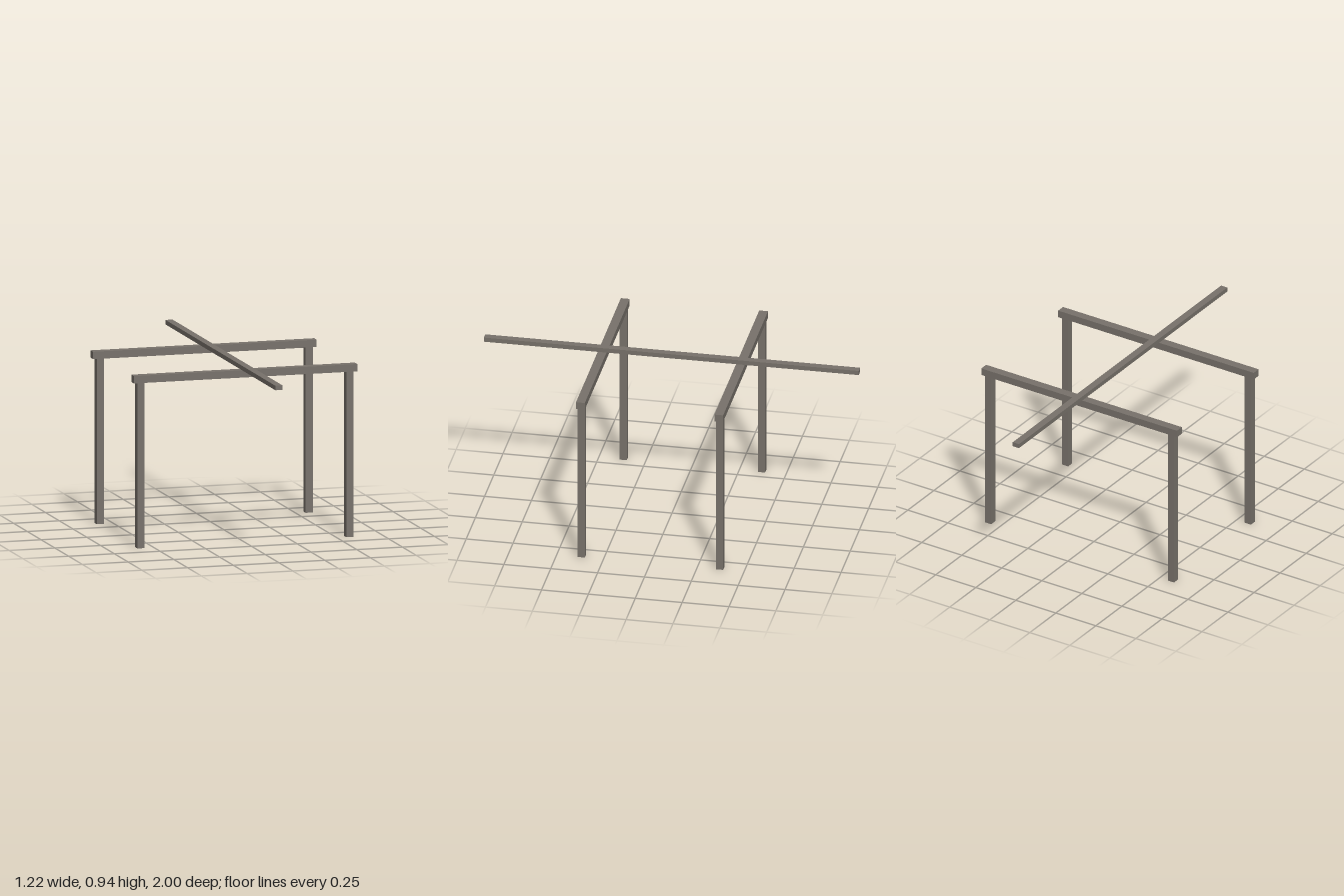
import * as THREE from 'three';

export function createModel() {
  const model = new THREE.Group();
  model.name = 'postFrame';
  const wood = new THREE.MeshStandardMaterial({ color: 0x77716a });
  wood.name = 'weathered wood';

  // Adds a squared timber resting with its underside at y
  function timber(name, w, h, d, x, y, z) {
    const mesh = new THREE.Mesh(new THREE.BoxGeometry(w, h, d), wood);
    mesh.name = name;
    mesh.position.set(x, y + h / 2, z);
    model.add(mesh);
  }

  // Two frames: a pair of posts under a crossbeam
  for (const [end, z] of [['front', 0.369], ['back', -0.369]]) {
    for (const [side, x] of [['Left', 0.571], ['Right', -0.571]]) {
      timber(`${end}${side}Post`, 0.039, 0.88, 0.039, x, 0, z);
    }
    timber(`${end}Crossbeam`, 1.222, 0.039, 0.047, 0, 0.88, z);
  }

  // Long rail lying across both crossbeams
  timber('ridgeRail', 0.039, 0.024, 2, 0, 0.919, 0);

  return model;
}
